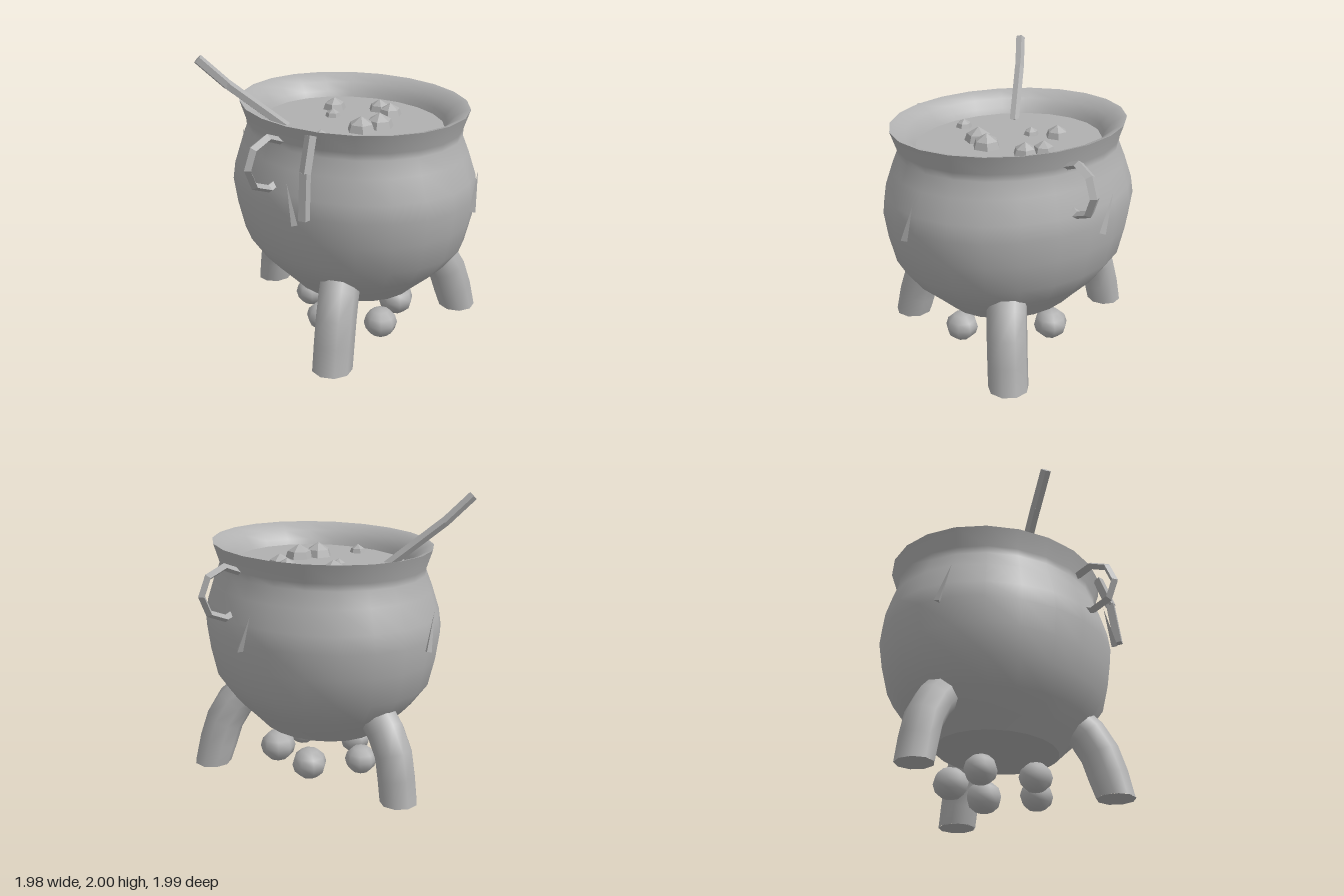
import * as THREE from 'three';

const iron = new THREE.MeshStandardMaterial({ color: 0xb0b0b0 });
iron.name = 'grey iron';

const V = (x, y, z) => new THREE.Vector3(x, y, z);

function add(parent, name, geometry) {
  const mesh = new THREE.Mesh(geometry, iron);
  mesh.name = name;
  parent.add(mesh);
  return mesh;
}

function lathe(parent, name, profile) {
  const pts = profile.map(([r, y]) => new THREE.Vector2(r, y));
  return add(parent, name, new THREE.LatheGeometry(pts, 22));
}

// Faceted bar along straight runs, closed at both ends
function bar(parent, name, pts, radius, sides) {
  const group = new THREE.Group();
  group.name = name;
  parent.add(group);
  for (let i = 0; i < pts.length - 1; i++) {
    const dir = pts[i + 1].clone().sub(pts[i]);
    const g = new THREE.CylinderGeometry(radius, radius, dir.length() + 0.01, sides).toNonIndexed();
    g.computeVertexNormals();
    const m = add(group, name + 'Section', g);
    m.position.copy(pts[i]).add(pts[i + 1]).multiplyScalar(0.5);
    m.quaternion.setFromUnitVectors(V(0, 1, 0), dir.normalize());
  }
}

// Bent leg with a flat foot on the ground
function leg(parent, name, pts, radius) {
  const group = new THREE.Group();
  group.name = name;
  parent.add(group);
  const g = new THREE.TubeGeometry(new THREE.CatmullRomCurve3(pts), 5, radius, 9);
  const p = g.attributes.position;
  for (let i = 0; i < p.count; i++) if (i < 10 || p.getY(i) < 0) p.setY(i, 0);
  add(group, 'legShaft', g);
  const foot = add(group, 'foot', new THREE.CircleGeometry(radius * 0.98, 9));
  foot.rotation.x = Math.PI / 2;
  foot.position.set(pts[0].x, 0.001, pts[0].z);
}

export function createModel() {
  const model = new THREE.Group();
  model.name = 'cauldron';

  // Oval pot, its rim and its contents share one stretched group
  const pot = new THREE.Group();
  pot.name = 'pot';
  pot.position.z = 0.035;
  pot.scale.set(0.79, 1, 0.925);
  model.add(pot);
  lathe(pot, 'potBase', [[0, 0.305], [0.52, 0.325]]);
  lathe(pot, 'potBody', [[0.52, 0.325], [0.62, 0.41], [0.78, 0.54], [0.915, 0.7], [0.97, 0.9],
    [1, 1.08], [0.98, 1.2], [0.92, 1.36], [0.87, 1.47], [0.875, 1.52], [0.925, 1.65]]);
  lathe(pot, 'innerRim', [[0.925, 1.65], [0.88, 1.64], [0.81, 1.6], [0.75, 1.54], [0.715, 1.46]]);
  lathe(pot, 'brew', [[0.735, 1.5], [0, 1.5]]);

  // Pointed bubbles on the brew
  const bubbles = [[0.13, -0.28, 0.085], [-0.01, -0.155, 0.055], [0.33, -0.02, 0.08], [0.3, 0.11, 0.085],
    [-0.42, 0.15, 0.06], [-0.11, 0.22, 0.1], [0.04, 0.25, 0.1]];
  bubbles.forEach(([x, z, r], i) => {
    const pts = [[0.8, -0.7], [1, 0], [0.82, 0.5], [0, 1]].map(([a, b]) => new THREE.Vector2(a * r, b * r));
    const g = new THREE.LatheGeometry(pts, 6).toNonIndexed();
    g.computeVertexNormals();
    const b = add(model, 'bubble', g);
    b.position.set(x, 1.5, z);
    b.rotation.y = i * 0.7;
  });

  // Three legs
  for (const s of [1, -1]) {
    leg(model, s > 0 ? 'leftLeg' : 'rightLeg',
      [V(s * 0.665, 0, 0.49), V(s * 0.575, 0.34, 0.44), V(s * 0.47, 0.52, 0.37), V(s * 0.3, 0.66, 0.25)], 0.14);
  }
  leg(model, 'backLeg', [V(0.01, 0, -0.86), V(0, 0.34, -0.78), V(0, 0.52, -0.64), V(0, 0.66, -0.45)], 0.13);

  // Octagonal ring handles
  for (const s of [1, -1]) {
    const g = new THREE.TorusGeometry(0.175, 0.026, 4, 8).toNonIndexed();
    g.computeVertexNormals();
    const ring = add(model, s > 0 ? 'leftRing' : 'rightRing', g);
    ring.position.set(s * 0.79, 1.39, 0.04);
    ring.scale.z = 1.5;
  }

  // Stirring stick and the bar hanging from the rim
  bar(model, 'stirringStick', [V(-0.82, 1.97, -0.61), V(-0.67, 1.79, -0.5), V(-0.37, 1.48, -0.25)], 0.036, 5);
  bar(model, 'hangingBar', [V(-0.69, 1.62, 0.34), V(-0.765, 1.4, 0.365), V(-0.8, 1.1, 0.385)], 0.038, 4);

  // Thin spikes on the four sides
  const spikes = [[V(0.17, 1.04, 0.975), V(0.25, 1.3, 0.945)], [V(0.81, 1.04, -0.16), V(0.785, 1.3, -0.26)],
    [V(-0.17, 1.04, -0.91), V(-0.25, 1.3, -0.875)], [V(-0.81, 1.04, 0.31), V(-0.785, 1.3, 0.21)]];
  for (const [base, tip] of spikes) {
    const dir = tip.clone().sub(base);
    const g = new THREE.ConeGeometry(0.025, dir.length(), 3).toNonIndexed();
    g.computeVertexNormals();
    const spike = add(model, 'spike', g);
    spike.position.copy(base).add(tip).multiplyScalar(0.5);
    spike.quaternion.setFromUnitVectors(V(0, 1, 0), dir.normalize());
  }

  // Round coals beneath the pot
  const coals = [[-0.09, 0.4, 0.12], [0.25, 0.24, 0.13], [0.25, -0.16, 0.125], [-0.31, 0.03, 0.115], [-0.1, -0.31, 0.115]];
  coals.forEach(([x, z, r], i) => {
    const coal = add(model, 'coal', new THREE.SphereGeometry(r, 8, 6));
    coal.position.set(x, r * 0.8, z);
    coal.scale.y = 0.9;
    coal.rotation.y = i;
    const p = coal.geometry.attributes.position;
    for (let k = 0; k < p.count; k++) p.setY(k, Math.max(p.getY(k), -r * 0.88));
  });

  return model;
}
